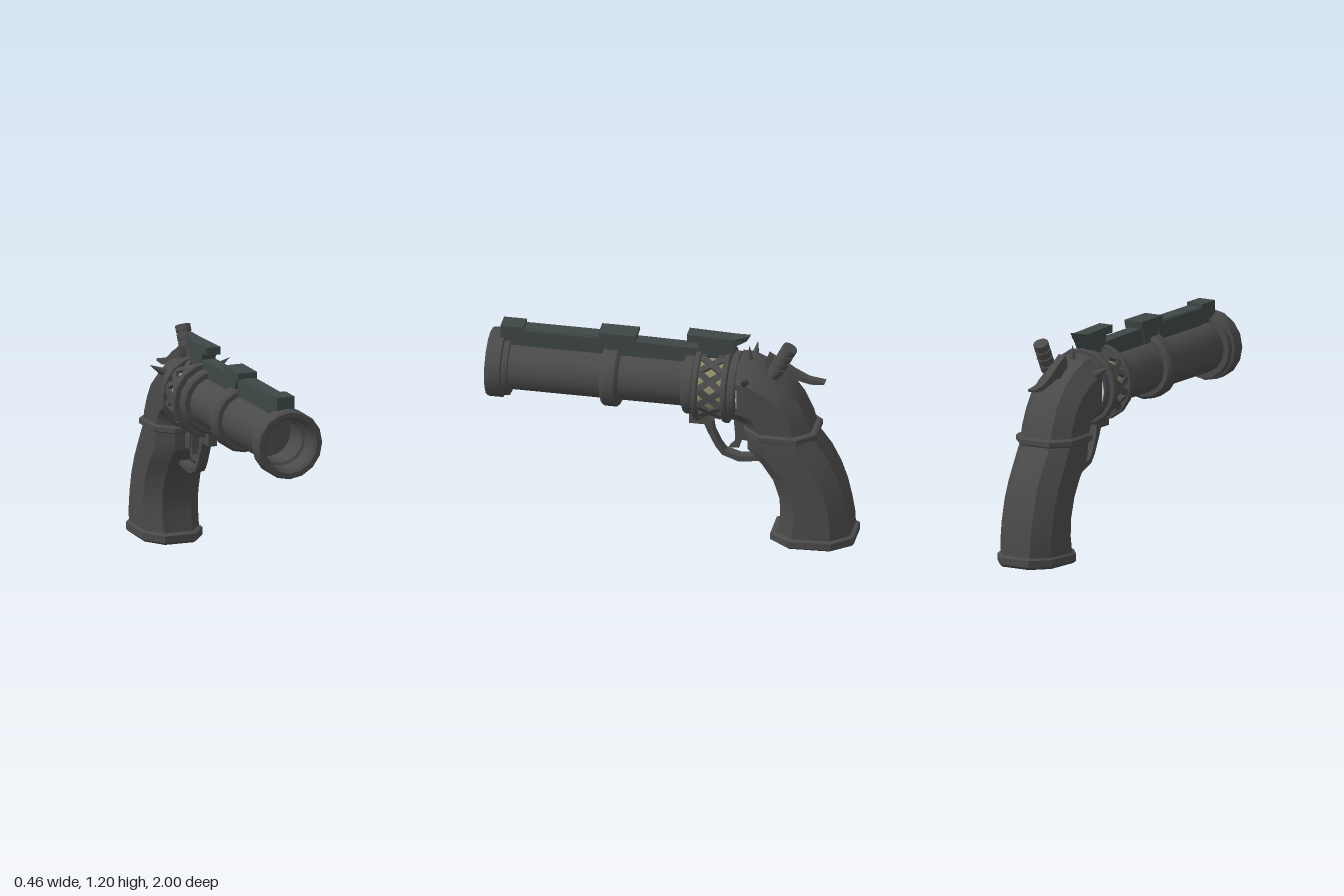
import * as THREE from 'three';
import { toCreasedNormals } from 'three/addons/utils/BufferGeometryUtils.js';

const material = (color) => new THREE.MeshStandardMaterial({ color, side: THREE.DoubleSide });
const STEEL = material(0x4a4a4a), RAIL = material(0x3e4646), GLOW = material(0x8c8866), PALE = material(0xcccccc);
const AXIS_Y = 0.888; // height of the barrel axis

export function createModel() {
  const model = new THREE.Group();

  const add = (name, geometry, mat = STEEL, crease = 0.6, parent = model) => {
    const mesh = new THREE.Mesh(toCreasedNormals(geometry, crease), mat);
    mesh.name = name;
    parent.add(mesh);
    return mesh;
  };

  // Turned part round the barrel axis; profile is [radius, z] from back to front
  const turned = (name, profile, mat = STEEL) => {
    const g = new THREE.LatheGeometry(profile.map(([r, z]) => new THREE.Vector2(r, z)), 16);
    g.rotateX(Math.PI / 2).translate(0, AXIS_Y, 0);
    return add(name, g, mat);
  };
  // Ring with small bevels on both edges
  const ring = (name, z0, z1, r, b = 0.01) => turned(name,
    [[0.13, z0], [r - b, z0], [r, z0 + b], [r, z1 - b], [r - b, z1], [0.13, z1]]);

  // Flat part cut from a side outline of [z, y] points, width along x
  const plate = (name, outline, width, mat = STEEL, x = 0) => {
    const shape = new THREE.Shape(outline.map(([z, y]) => new THREE.Vector2(z, y)));
    const g = new THREE.ExtrudeGeometry(shape, { depth: width, bevelEnabled: false });
    g.translate(0, 0, -width / 2).rotateY(-Math.PI / 2).translate(x, 0, 0);
    return add(name, g, mat, 0.5);
  };

  // Octagonal loft; each section is [frontZ, frontY, backZ, backY, halfWidth]
  const OCT = [[1, 0.24], [1, 0.76], [0.52, 1], [-0.52, 1], [-1, 0.76], [-1, 0.24], [-0.52, 0], [0.52, 0]];
  const loft = (name, sections) => {
    const pos = [], index = [], n = OCT.length;
    for (const [fz, fy, bz, by, w] of sections)
      for (const [x, t] of OCT) pos.push(x * w, fy + (by - fy) * t, fz + (bz - fz) * t);
    for (let i = 0; i < sections.length - 1; i++)
      for (let j = 0; j < n; j++) {
        const a = i * n + j, b = i * n + (j + 1) % n;
        index.push(a, a + n, b, b, a + n, b + n);
      }
    const last = (sections.length - 1) * n;
    for (let j = 1; j < n - 1; j++) index.push(0, j, j + 1, last, last + j + 1, last + j);
    const g = new THREE.BufferGeometry();
    g.setAttribute('position', new THREE.Float32BufferAttribute(pos, 3));
    g.setIndex(index);
    return add(name, g);
  };

  // Barrel with hollow muzzle
  turned('barrel', [[0, -0.1], [0.14, -0.1], [0.14, 0.9]]);
  turned('muzzle', [[0.14, 0.88], [0.172, 0.88], [0.175, 0.91], [0.188, 0.915], [0.188, 0.99], [0.18, 1],
    [0.155, 1], [0.14, 0.985], [0.14, 0.87], [0.125, 0.865], [0.125, 0.7], [0, 0.7]]);
  ring('barrelBand', 0.28, 0.375, 0.18, 0.015);
  ring('barrelCollar', -0.135, -0.07, 0.18, 0.012);

  // Drum: glowing core under a lattice, between two flanges
  turned('drumCore', [[0, -0.31], [0.178, -0.31], [0.178, -0.14], [0, -0.14]], GLOW);
  ring('frontFlange', -0.163, -0.132, 0.21, 0.006);
  ring('rearFlange', -0.323, -0.29, 0.21, 0.006);
  ring('rearCollar', -0.37, -0.32, 0.185);
  turned('collarFace', [[0, -0.374], [0.172, -0.374], [0.172, -0.365]], PALE);
  const lattice = new THREE.Group();
  lattice.name = 'drumLattice';
  lattice.position.set(0, AXIS_Y, -0.227);
  model.add(lattice);
  for (let i = 0; i < 12; i++) {
    const spoke = new THREE.Group();
    spoke.rotation.z = (i / 12) * Math.PI * 2;
    lattice.add(spoke);
    for (const s of [-1, 1]) {
      const bar = add('latticeBar', new THREE.BoxGeometry(0.034, 0.022, 0.155), STEEL, 0.5, spoke);
      bar.position.y = 0.18;
      bar.rotation.y = s * 0.62;
    }
  }

  // Curved neck, grip and their trims
  loft('neck', [
    [-0.365, 0.71, -0.365, 1.06, 0.16],
    [-0.385, 0.71, -0.43, 1.058, 0.165],
    [-0.395, 0.705, -0.52, 1.018, 0.163],
    [-0.405, 0.7, -0.625, 0.95, 0.16],
    [-0.41, 0.69, -0.7, 0.85, 0.158],
    [-0.415, 0.675, -0.75, 0.745, 0.158],
    [-0.42, 0.65, -0.775, 0.65, 0.158]]);
  loft('neckBand', [
    [-0.415, 0.685, -0.785, 0.685, 0.165], [-0.4, 0.676, -0.797, 0.676, 0.176],
    [-0.4, 0.65, -0.797, 0.65, 0.176], [-0.415, 0.642, -0.785, 0.642, 0.165]]);
  loft('grip', [
    [-0.42, 0.65, -0.77, 0.65, 0.158],
    [-0.42, 0.55, -0.85, 0.54, 0.16],
    [-0.5, 0.46, -0.9, 0.44, 0.16],
    [-0.56, 0.37, -0.935, 0.34, 0.16],
    [-0.595, 0.26, -0.96, 0.23, 0.16],
    [-0.597, 0.16, -0.975, 0.14, 0.16],
    [-0.57, 0.03, -0.98, 0.04, 0.16]]);
  loft('gripBase', [
    [-0.56, 0.058, -0.985, 0.075, 0.165], [-0.545, 0.05, -1, 0.066, 0.174],
    [-0.545, 0.012, -1, 0.028, 0.174], [-0.56, 0, -0.985, 0.014, 0.16]]);

  // Top rail with sights
  plate('topRail', [[0.82, 1.0], [0.82, 1.122], [0.2, 1.125], [0.2, 1.112], [-0.31, 1.105], [-0.31, 1.0]], 0.075, RAIL);
  plate('frontSight', [[0.935, 1.03], [0.935, 1.14], [0.81, 1.14], [0.81, 1.03]], 0.1, RAIL);
  plate('railLip', [[0.81, 1.03], [0.81, 1.12], [0.38, 1.12], [0.38, 1.03]], 0.1, RAIL);
  plate('middleSight', [[0.4, 1.12], [0.4, 1.155], [0.195, 1.155], [0.195, 1.135], [0.235, 1.03], [0.34, 1.03], [0.375, 1.11]], 0.11, RAIL);
  const rear = plate('rearSight', [[-0.08, 1.145], [-0.08, 1.188], [-0.33, 1.18], [-0.42, 1.198],
    [-0.4, 1.165], [-0.34, 1.14], [-0.31, 1.09], [-0.16, 1.09], [-0.135, 1.145]], 0.08, RAIL);
  const p = rear.geometry.attributes.position;
  for (let i = 0; i < p.count; i++) if (p.getZ(i) < -0.39) p.setX(i, p.getX(i) * 0.25);
  rear.geometry.computeVertexNormals();

  // Trigger guard and trigger
  plate('guardMount', [[-0.09, 0.72], [-0.09, 0.64], [-0.2, 0.64], [-0.22, 0.685], [-0.34, 0.685],
    [-0.36, 0.57], [-0.44, 0.56], [-0.44, 0.72]], 0.05);
  plate('triggerGuard', [[-0.17, 0.65], [-0.19, 0.6], [-0.235, 0.51], [-0.27, 0.465], [-0.36, 0.433], [-0.5, 0.452],
    [-0.5, 0.48], [-0.365, 0.465], [-0.285, 0.49], [-0.26, 0.525], [-0.225, 0.6], [-0.215, 0.66]], 0.055);
  plate('trigger', [[-0.33, 0.7], [-0.34, 0.58], [-0.335, 0.54], [-0.305, 0.51], [-0.36, 0.512],
    [-0.375, 0.56], [-0.39, 0.7]], 0.035);

  // Hammer with a swept tail
  plate('hammer', [[-0.5, 1.0], [-0.5, 1.045], [-0.52, 1.1], [-0.56, 1.075], [-0.61, 1.05], [-0.66, 1.015],
    [-0.74, 0.975], [-0.83, 0.962], [-0.825, 0.95], [-0.75, 0.945], [-0.67, 0.965], [-0.6, 0.985], [-0.55, 0.97]], 0.045);

  // Ribbed plug leaning backwards
  const plug = new THREE.Group();
  plug.name = 'ribbedPlug';
  plug.position.set(0.055, 1.0, -0.555);
  plug.rotation.x = -0.48;
  model.add(plug);
  add('plugCore', new THREE.CylinderGeometry(0.033, 0.033, 0.2, 12).translate(0, 0.09, 0), STEEL, 0.6, plug);
  for (let i = 0; i < 4; i++)
    add('plugRib', new THREE.CylinderGeometry(0.042, 0.042, 0.036, 12).translate(0, 0.045 + i * 0.046, 0), STEEL, 0.6, plug);

  // Three spikes round the neck
  for (const angle of [-1, 0, 1]) {
    const holder = new THREE.Group();
    holder.name = 'spike';
    holder.position.set(angle * 0.15, angle ? 0.99 : 1.04, -0.415);
    holder.rotation.z = -angle * 1.05;
    model.add(holder);
    add('spikeCone', new THREE.ConeGeometry(0.025, 0.1, 8).translate(0, 0.045, 0), STEEL, 0.9, holder);
  }
  return model;
}
